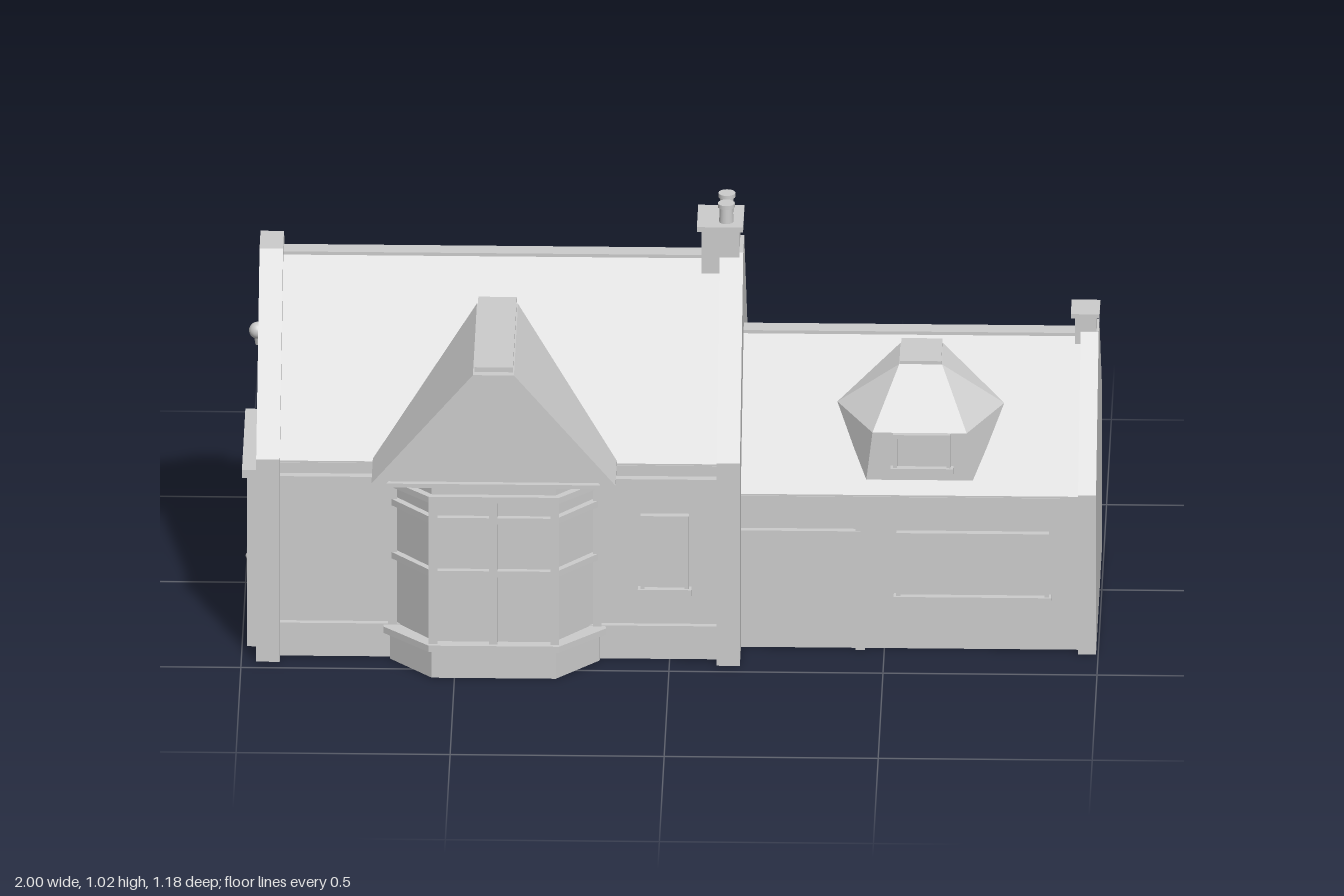
import * as THREE from 'three';
import { ConvexGeometry } from 'three/addons/geometries/ConvexGeometry.js';

const grey = new THREE.MeshStandardMaterial({ color: 0xcccccc, flatShading: true });
const smooth = new THREE.MeshStandardMaterial({ color: 0xcccccc });
const V = (x, y, z) => new THREE.Vector3(x, y, z);

export function createModel() {
  const root = new THREE.Group();

  const group = (name, parent = root) => {
    const g = new THREE.Group();
    g.name = name;
    parent.add(g);
    return g;
  };
  const add = (name, geo, parent = root, mat = grey) => {
    const m = new THREE.Mesh(geo, mat);
    m.name = name;
    parent.add(m);
    return m;
  };
  // box given by its limits
  const box = (name, x0, x1, y0, y1, z0, z1, parent) => {
    const m = add(name, new THREE.BoxGeometry(x1 - x0, y1 - y0, z1 - z0), parent);
    m.position.set((x0 + x1) / 2, (y0 + y1) / 2, (z0 + z1) / 2);
    return m;
  };
  const shapeOf = (pts) => new THREE.Shape(pts.map(([a, b]) => new THREE.Vector2(a, b)));
  const extrude = (pts, depth) => new THREE.ExtrudeGeometry(shapeOf(pts), { depth, bevelEnabled: false });
  // section in (z, y) swept along x
  const alongX = (name, pts, x0, x1, parent) =>
    add(name, extrude(pts.map(([z, y]) => [-z, y]), x1 - x0).rotateY(Math.PI / 2).translate(x0, 0, 0), parent);
  // plan in (x, z) swept up y
  const alongY = (name, pts, y0, y1, parent) =>
    add(name, extrude(pts.map(([x, z]) => [x, -z]), y1 - y0).rotateX(-Math.PI / 2).translate(0, y0, 0), parent);
  // square bar between two points
  const bar = (name, a, b, w, parent) => {
    const m = add(name, new THREE.BoxGeometry(w, w, a.distanceTo(b) + w * 0.5), parent);
    m.position.copy(a).add(b).multiplyScalar(0.5);
    if (Math.abs(b.y - a.y) > 0.99 * a.distanceTo(b)) m.rotation.x = Math.PI / 2;
    else m.lookAt(b);
    return m;
  };
  const cylinder = (name, r0, r1, h, x, y, z, parent) => {
    const m = add(name, new THREE.CylinderGeometry(r0, r1, h, 16), parent, smooth);
    m.position.set(x, y + h / 2, z);
    return m;
  };
  // framed window on a front wall
  const frontWindow = (name, x0, x1, y0, y1, z, parent = root) => {
    const g = group(name, parent), t = 0.01;
    box('pane', x0, x1, y0, y1, z - 0.02, z + 0.004, g);
    box('jamb', x0, x0 + t, y0, y1, z - 0.02, z + 0.014, g);
    box('jamb', x1 - t, x1, y0, y1, z - 0.02, z + 0.014, g);
    box('head', x0, x1, y1 - t, y1, z - 0.02, z + 0.014, g);
    box('sill', x0 - 0.006, x1 + 0.006, y0 - t / 2, y0 + t, z - 0.02, z + 0.02, g);
  };

  const MID = 0.0625; // ridge line of both buildings
  const gable = (half, eave, top, flat) => [
    [MID + half, 0], [MID + half, eave], [MID + flat, top],
    [MID - flat, top], [MID - half, eave], [MID - half, 0]];
  // walls, roof slab, ridge roll and gutters of one building
  const building = (name, x0, x1, wall, eave, roofHalf, ridge) => {
    const g = group(name);
    alongX('walls', gable(wall, eave - 0.02, ridge - 0.04, 0.02), x0, x1, g);
    alongX('roof', [
      [MID + roofHalf, eave], [MID + 0.02, ridge - 0.006], [MID - 0.02, ridge - 0.006], [MID - roofHalf, eave],
      [MID - roofHalf, eave - 0.015], [MID - wall + 0.02, eave - 0.015],
      [MID + wall - 0.02, eave - 0.015], [MID + roofHalf, eave - 0.015]], x0, x1, g);
    box('ridgeCap', x0, x1, ridge - 0.02, ridge, MID - 0.022, MID + 0.022, g);
    for (const s of [-1, 1]) {
      const zc = MID + s * (roofHalf - 0.008);
      box('gutter', x0, x1, eave - 0.022, eave - 0.004, zc - 0.01, zc + 0.01, g);
    }
    return g;
  };

  // main house with its raised gable walls
  const main = building('mainHouse', -0.93, 0.13, 0.365, 0.505, 0.385, 0.88);
  const mainGable = gable(0.4025, 0.515, 0.9, 0.052);
  alongX('gableWallRight', mainGable, -0.965, -0.91, main);
  alongX('gableWallLeft', mainGable, 0.11, 0.165, main);
  box('plinthRail', -0.91, 0.11, 0.075, 0.09, 0.4, 0.442, main);
  box('upperRail', -0.91, 0.11, 0.45, 0.465, 0.4, 0.447, main);
  frontWindow('smallWindow', -0.068, 0.045, 0.175, 0.37, 0.43, main);

  // side wing
  const wing = building('wing', 0.16, 0.96, 0.29, 0.398, 0.31, 0.69);
  alongX('endGable', gable(0.3175, 0.405, 0.7, 0.038), 0.953, 0.995, wing);
  box('eavesRail', 0.165, 0.953, 0.378, 0.39, 0.33, 0.368, wing);
  box('doorBeam', 0.165, 0.445, 0.285, 0.303, 0.33, 0.368, wing);
  box('post', 0.433, 0.455, 0, 0.38, 0.33, 0.366, wing);
  frontWindow('shopWindow', 0.528, 0.885, 0.13, 0.3, 0.355, wing);

  // chimneys
  const stack = group('mainChimney');
  box('stack', 0.068, 0.156, 0.85, 0.96, MID - 0.06, MID + 0.06, stack);
  box('cap', 0.057, 0.165, 0.958, 0.97, MID - 0.066, MID + 0.066, stack);
  for (const s of [-1, 1]) {
    cylinder('pot', 0.015, 0.017, 0.045, 0.125, 0.97, MID + s * 0.03, stack);
    cylinder('potRim', 0.02, 0.02, 0.01, 0.125, 1.007, MID + s * 0.03, stack);
  }
  const small = group('wingChimney');
  box('stack', 0.94, 0.99, 0.64, 0.74, MID - 0.036, MID + 0.036, small);
  box('cap', 0.93, 0.997, 0.736, 0.747, MID - 0.043, MID + 0.043, small);

  // gabled roof over the bay, running back into the main roof
  const bayRoof = group('bayGable');
  const bx = -0.408;
  const trapezoid = [[bx - 0.285, 0.5], [bx + 0.285, 0.5], [bx + 0.285, 0.51], [bx + 0.048, 0.788],
    [bx - 0.048, 0.788], [bx - 0.285, 0.51]];
  add('roofBody', extrude(trapezoid, 0.425).translate(0, 0, 0.15), bayRoof);
  const rim = shapeOf(trapezoid);
  rim.holes.push(new THREE.Path([[-0.25, 0.51], [-0.042, 0.768], [0.042, 0.768], [0.25, 0.51]]
    .map(([x, y]) => new THREE.Vector2(bx + x, y))));
  add('verge', new THREE.ExtrudeGeometry(rim, { depth: 0.015, bevelEnabled: false }).translate(0, 0, 0.574), bayRoof);
  box('ridgeCap', bx - 0.045, bx + 0.045, 0.785, 0.8, 0.155, 0.57, bayRoof);

  // bay window with splayed sides
  const bay = group('bayWindow');
  const plan = (d) => [[bx - 0.245 - d, 0.4], [bx - 0.245 - d, 0.44 + d], [bx - 0.145 - d / 2, 0.55 + d],
    [bx + 0.145 + d / 2, 0.55 + d], [bx + 0.245 + d, 0.44 + d], [bx + 0.245 + d, 0.4]];
  alongY('base', plan(0), 0, 0.08, bay);
  alongY('glass', plan(-0.012), 0.08, 0.46, bay);
  alongY('head', plan(0), 0.46, 0.505, bay);
  alongY('sill', plan(0.015), 0.072, 0.088, bay);
  alongY('headRail', plan(0.015), 0.452, 0.467, bay);
  const [, a, b, c, d] = plan(-0.006);
  for (const [p, q] of [[a, b], [b, c], [c, d]])
    for (const y of [0.265, 0.4])
      bar('transom', V(p[0], y, p[1]), V(q[0], y, q[1]), 0.016, bay);
  for (const [x, z] of [a, b, [bx - 0.001, b[1]], c, d])
    bar('mullion', V(x, 0.08, z), V(x, 0.46, z), 0.02, bay);

  // hipped dormer on the wing roof
  const dormer = group('wingDormer');
  const dx = 0.582, hull = [];
  for (const s of [-1, 1])
    hull.push(V(dx + s * 0.05, 0.668, 0.1), V(dx + s * 0.05, 0.668, 0.225), V(dx + s * 0.195, 0.565, 0.21),
      V(dx + s * 0.11, 0.545, 0.345), V(dx + s * 0.125, 0.42, 0.345), V(dx + s * 0.12, 0.42, 0.15));
  add('dormerBody', new ConvexGeometry(hull), dormer);
  box('ridgeCap', dx - 0.048, dx + 0.048, 0.664, 0.676, 0.09, 0.225, dormer);
  frontWindow('dormerWindow', 0.52, 0.655, 0.452, 0.545, 0.345, dormer);

  // flat-roofed lean-to at the back
  const shed = group('backExtension');
  box('walls', -0.88, -0.32, 0, 0.31, -0.568, -0.29, shed);
  box('flatRoof', -0.9, -0.3, 0.306, 0.333, -0.59, -0.29, shed);

  // side entrance on the end wall, with a lamp beside it
  const door = group('sideDoor');
  box('doorLeaf', -0.98, -0.96, 0, 0.43, 0.06, 0.36, door);
  for (const z of [0.045, 0.35]) box('jamb', -0.988, -0.96, 0, 0.44, z, z + 0.025, door);
  box('meetingStile', -0.985, -0.96, 0, 0.43, 0.203, 0.217, door);
  box('lintel', -1, -0.96, 0.435, 0.455, 0.03, 0.39, door);
  const knob = add('doorKnob', new THREE.SphereGeometry(0.01, 12, 8), door, smooth);
  knob.position.set(-0.985, 0.17, 0.235);
  const lamp = group('wallLamp');
  const globe = add('globe', new THREE.SphereGeometry(0.02, 16, 12), lamp, smooth);
  globe.position.set(-0.975, 0.59, -0.12);
  cylinder('lampBase', 0.012, 0.008, 0.025, -0.972, 0.555, -0.12, lamp);

  return root;
}
